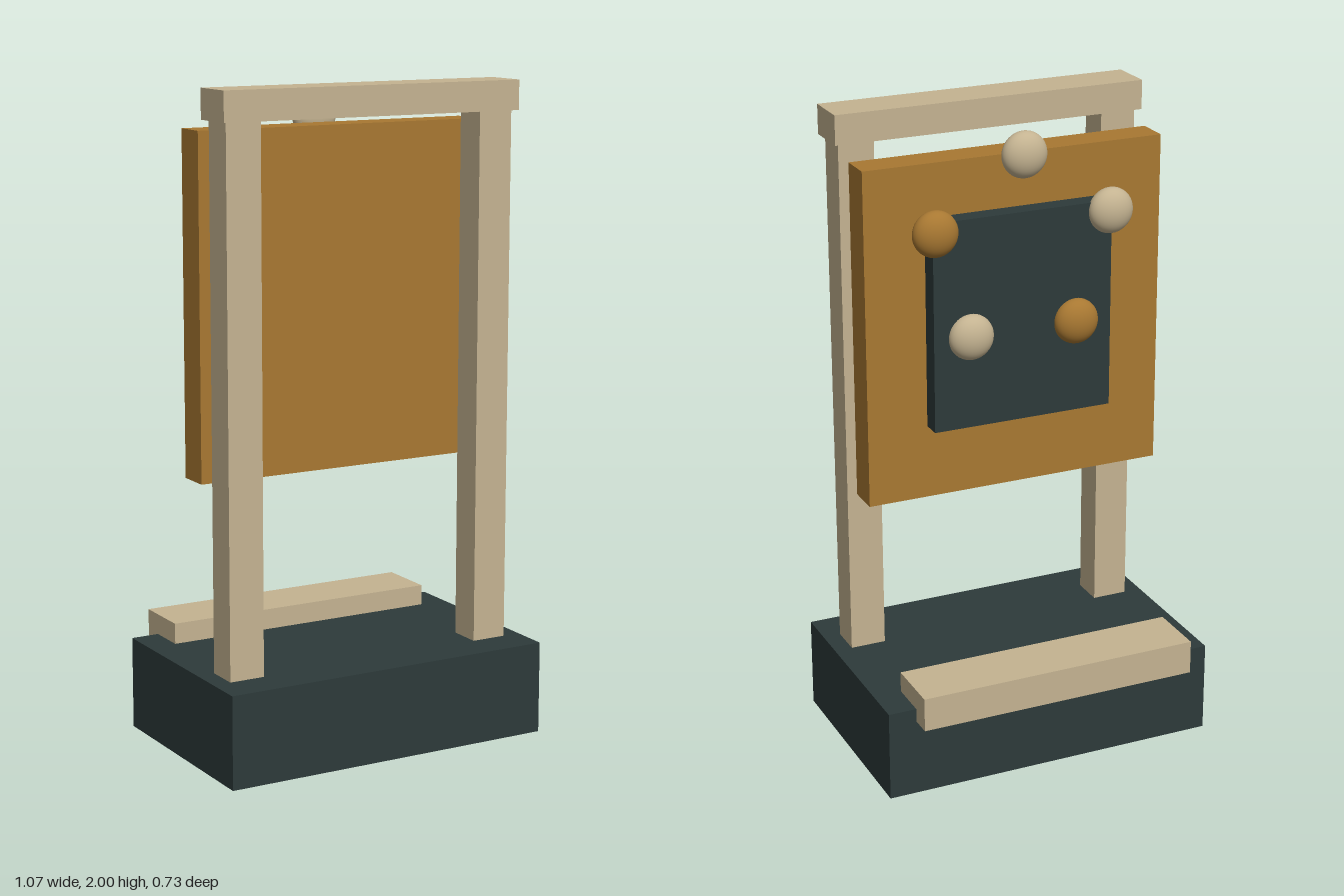
import * as THREE from 'three';

export function createModel() {
  const group = new THREE.Group();
  const material = (name, color) => {
    const m = new THREE.MeshStandardMaterial({ color });
    m.name = name;
    return m;
  };
  const cream = material('cream', 0xc4b391);
  const orange = material('ochre', 0xa87832);
  const dark = material('dark slate', 0x2d3a3a);

  // Box given by its extents on each axis
  const box = (name, mat, [x0, x1], [y0, y1], [z0, z1]) => {
    const mesh = new THREE.Mesh(new THREE.BoxGeometry(x1 - x0, y1 - y0, z1 - z0), mat);
    mesh.position.set((x0 + x1) / 2, (y0 + y1) / 2, (z0 + z1) / 2);
    mesh.name = name;
    group.add(mesh);
  };

  // Base and step
  box('base', dark, [-0.533, 0.533], [0, 0.285], [-0.302, 0.366]);
  box('step', cream, [-0.445, 0.445], [0.243, 0.349], [-0.367, -0.18]);

  // Frame: two posts and a crossbar
  box('leftPost', cream, [0.367, 0.478], [0.285, 1.91], [0.145, 0.249]);
  box('rightPost', cream, [-0.478, -0.367], [0.285, 1.91], [0.145, 0.249]);
  box('crossbar', cream, [-0.493, 0.493], [1.91, 2], [0.126, 0.267]);

  // Board with a dark inset plate on its back
  box('board', orange, [-0.475, 0.475], [0.84, 1.874], [-0.034, 0.07]);
  box('plate', dark, [-0.286, 0.286], [1.068, 1.712], [-0.094, -0.03]);

  // Flattened knobs around the plate
  const knobGeometry = new THREE.SphereGeometry(0.07, 32, 20);
  const knobs = [
    [0, 1.885, cream],
    [0.28, 1.683, orange],
    [-0.28, 1.683, cream],
    [0.17, 1.354, cream],
    [-0.17, 1.354, orange],
  ];
  knobs.forEach(([x, y, mat], i) => {
    const knob = new THREE.Mesh(knobGeometry, mat);
    knob.position.set(x, y, -0.098);
    knob.scale.z = 0.65;
    knob.name = `knob${i + 1}`;
    group.add(knob);
  });

  return group;
}
